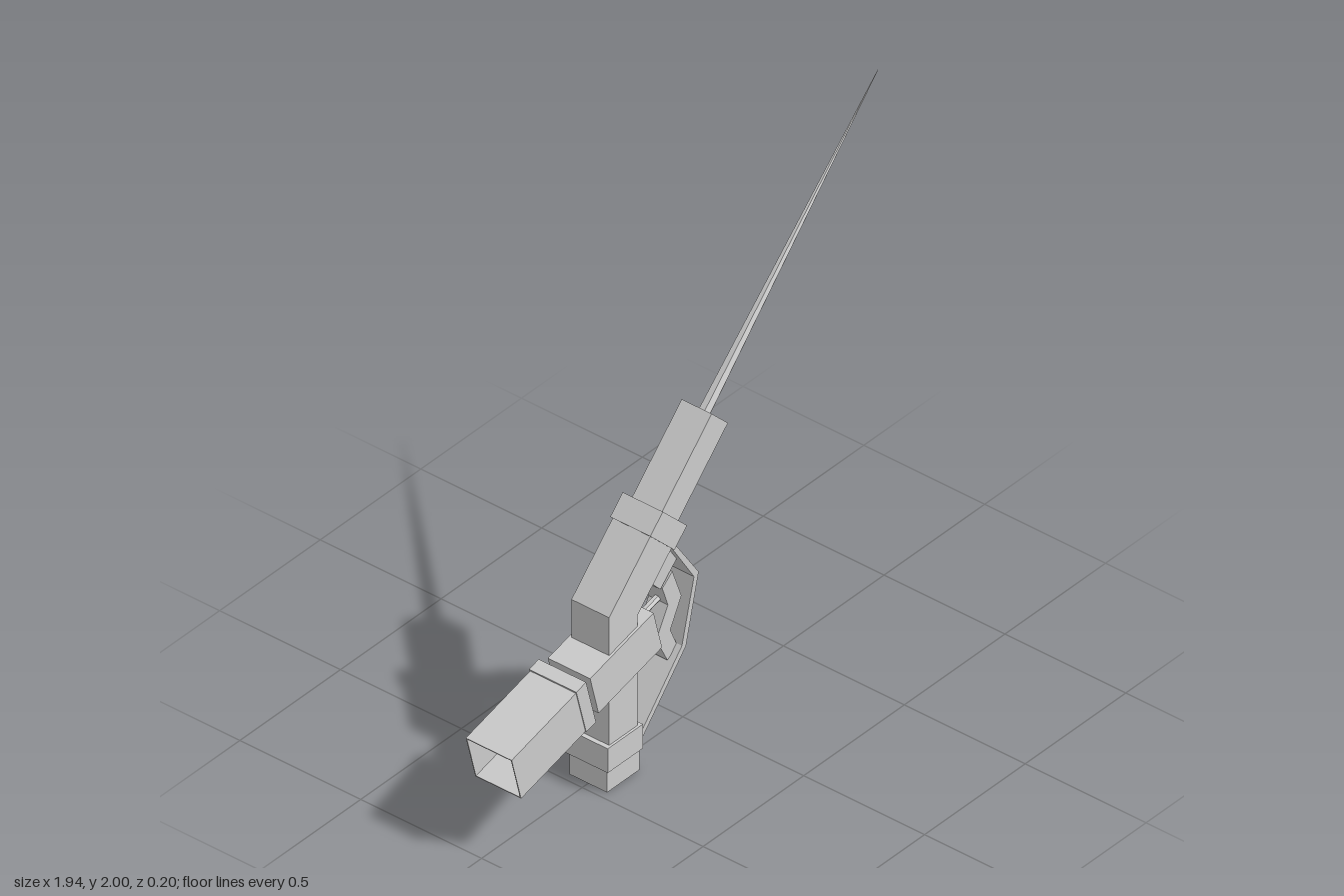
import * as THREE from 'three';

export function createModel() {
  const model = new THREE.Group();
  model.name = 'bladeGun';
  const grey = new THREE.MeshStandardMaterial({ color: 0xcccccc, flatShading: true, side: THREE.DoubleSide });
  grey.name = 'light grey';

  const add = (name, geometry, x = 0, y = 0, angle = 0) => {
    const mesh = new THREE.Mesh(geometry, grey);
    mesh.name = name;
    mesh.position.set(x, y, 0);
    mesh.rotation.z = THREE.MathUtils.degToRad(angle);
    model.add(mesh);
    return mesh;
  };
  const box = (name, w, h, d, x, y, angle) => add(name, new THREE.BoxGeometry(w, h, d), x, y, angle);

  // Side outline extruded evenly about z = 0
  const plate = (name, points, depth) => {
    const shape = new THREE.Shape(points.map(([x, y]) => new THREE.Vector2(x, y)));
    const geo = new THREE.ExtrudeGeometry(shape, { depth, bevelEnabled: false });
    return add(name, geo.translate(0, 0, -depth / 2));
  };

  // Rod between two points in the side plane
  const rod = (name, a, b, r0, r1, sides) => {
    const from = new THREE.Vector2(...a), to = new THREE.Vector2(...b);
    const dir = to.clone().sub(from);
    return add(name, new THREE.CylinderGeometry(r1, r0, dir.length(), sides),
      (a[0] + b[0]) / 2, (a[1] + b[1]) / 2, THREE.MathUtils.radToDeg(dir.angle()) - 90);
  };

  // Grip: pommel, collar and bent handle
  box('pommel', 0.16, 0.09, 0.156, -0.39, 0.045, 0);
  box('pommelCollar', 0.175, 0.095, 0.174, -0.39, 0.132, 0);
  plate('handle', [[-0.46, 0.16], [-0.32, 0.16], [-0.32, 0.61], [-0.12, 0.81],
    [-0.22, 0.92], [-0.46, 0.68]], 0.156);

  // Barrel and long tapering blade, all on one 45 degree axis
  box('barrelCollar', 0.088, 0.17, 0.166, -0.17, 0.862, 45);
  box('barrel', 0.352, 0.114, 0.124, -0.015, 1.014, 45);
  rod('blade', [0.1, 1.13], [0.97, 2.0], 0.023, 0.001, 6);

  // Cross body through the handle
  box('crossBody', 0.326, 0.164, 0.175, -0.387, 0.466, 14.8);
  rod('rearRod', [-0.6, 0.412], [-0.5, 0.437], 0.02, 0.02, 6);
  rod('triggerRod', [-0.25, 0.505], [-0.115, 0.541], 0.013, 0.013, 6);

  // Rear canister: front rim and a sleeve open at the far end
  box('canisterRim', 0.05, 0.19, 0.196, -0.598, 0.415, 15);
  const wall = 0.004, length = 0.35, height = 0.182, depth = 0.19;
  const canister = new THREE.Group();
  canister.name = 'canister';
  canister.position.set(-0.772, 0.366, 0);
  canister.rotation.z = THREE.MathUtils.degToRad(15);
  for (const s of [-1, 1]) {
    const flat = new THREE.Mesh(new THREE.BoxGeometry(length, wall, depth), grey);
    flat.name = s > 0 ? 'canisterTop' : 'canisterBottom';
    flat.position.y = s * (height - wall) / 2;
    const side = new THREE.Mesh(new THREE.BoxGeometry(length, height - 2 * wall, wall), grey);
    side.name = s > 0 ? 'canisterFrontWall' : 'canisterBackWall';
    side.position.z = s * (depth - wall) / 2;
    canister.add(flat, side);
  }
  model.add(canister);

  // Trigger with its mounting block
  box('triggerBlock', 0.12, 0.062, 0.08, -0.137, 0.67, 43);
  plate('trigger', [[-0.15, 0.605], [-0.1, 0.645], [-0.055, 0.525], [-0.11, 0.42],
    [-0.075, 0.34], [-0.125, 0.31], [-0.18, 0.42], [-0.122, 0.525]], 0.08);

  // Bent guard strip from collar to pommel
  plate('triggerGuard', [[-0.145, 0.785], [-0.125, 0.785], [0.003, 0.597], [-0.06, 0.34],
    [-0.295, 0.08], [-0.31, 0.095], [-0.08, 0.352], [-0.02, 0.59]], 0.126);

  return model;
}
